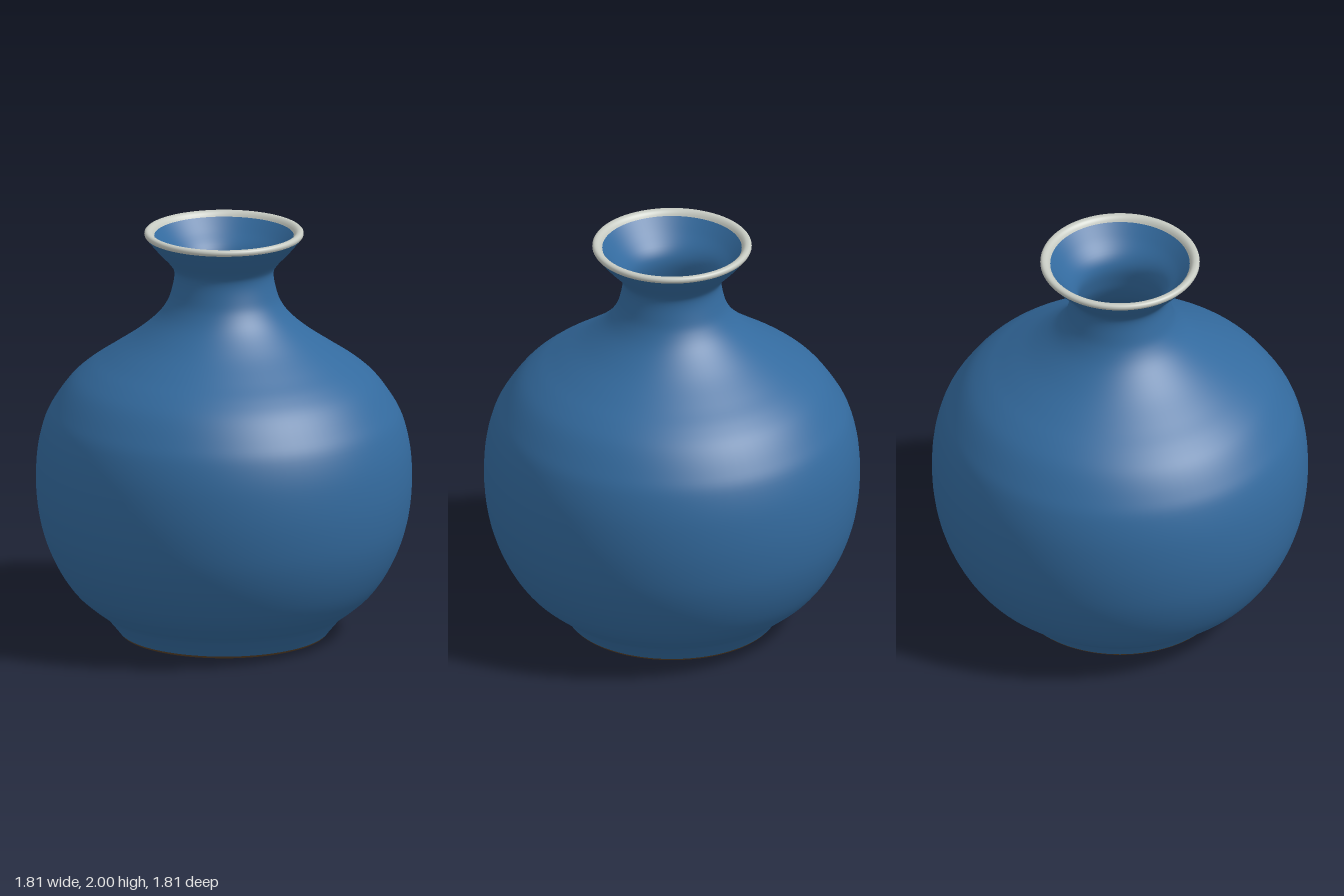
import * as THREE from 'three';

const SEGMENTS = 96;
const points = (list) => list.map(([r, y]) => new THREE.Vector2(r, y));
const smooth = (list, n) => new THREE.SplineCurve(points(list)).getPoints(n);

function material(name, color) {
  const m = new THREE.MeshStandardMaterial({ color });
  m.name = name;
  return m;
}

export function createModel() {
  const vase = new THREE.Group();
  vase.name = 'vase';
  const glaze = material('blue glaze', 0x336a9e);
  const lipGlaze = material('pale grey glaze', 0xc6cac2);
  const clay = material('brown clay', 0x5a4228);

  const turn = (name, profile, mat) => {
    const mesh = new THREE.Mesh(new THREE.LatheGeometry(profile, SEGMENTS), mat);
    mesh.name = name;
    vase.add(mesh);
  };

  // Unglazed foot: flat underside, then a small rounded edge
  turn('footUnderside', points([[0, 0], [0.475, 0]]), clay);
  turn('footEdge', smooth([[0.475, 0], [0.493, 0.004], [0.503, 0.015]], 8), clay);

  // Outer wall: flared foot, round belly, narrow neck and flaring mouth
  turn('outerWall', smooth([
    [0.503, 0.015], [0.535, 0.055], [0.58, 0.105], [0.645, 0.155], [0.717, 0.22],
    [0.785, 0.315], [0.845, 0.44], [0.885, 0.58], [0.903, 0.75], [0.894, 0.92],
    [0.86, 1.06], [0.81, 1.155], [0.74, 1.25], [0.66, 1.32], [0.56, 1.388],
    [0.43, 1.478], [0.33, 1.565], [0.275, 1.64], [0.25, 1.71], [0.238, 1.79],
    [0.26, 1.838], [0.32, 1.903], [0.378, 1.972],
  ], 110), glaze);

  // Rounded pale lip
  turn('lip', smooth([
    [0.378, 1.972], [0.383, 1.983], [0.38, 1.994], [0.37, 2],
    [0.355, 1.998], [0.343, 1.988], [0.335, 1.975],
  ], 20), lipGlaze);

  // Inner wall follows the outside down to the flat floor
  turn('innerWall', smooth([
    [0.335, 1.975], [0.285, 1.917], [0.225, 1.852], [0.202, 1.79], [0.213, 1.71],
    [0.24, 1.63], [0.3, 1.54], [0.41, 1.445], [0.54, 1.355], [0.7, 1.23],
    [0.82, 1.06], [0.865, 0.8], [0.845, 0.58], [0.75, 0.34], [0.62, 0.19],
    [0.48, 0.08], [0.42, 0.06],
  ], 80), glaze);
  turn('innerFloor', points([[0.42, 0.06], [0, 0.06]]), glaze);

  return vase;
}
